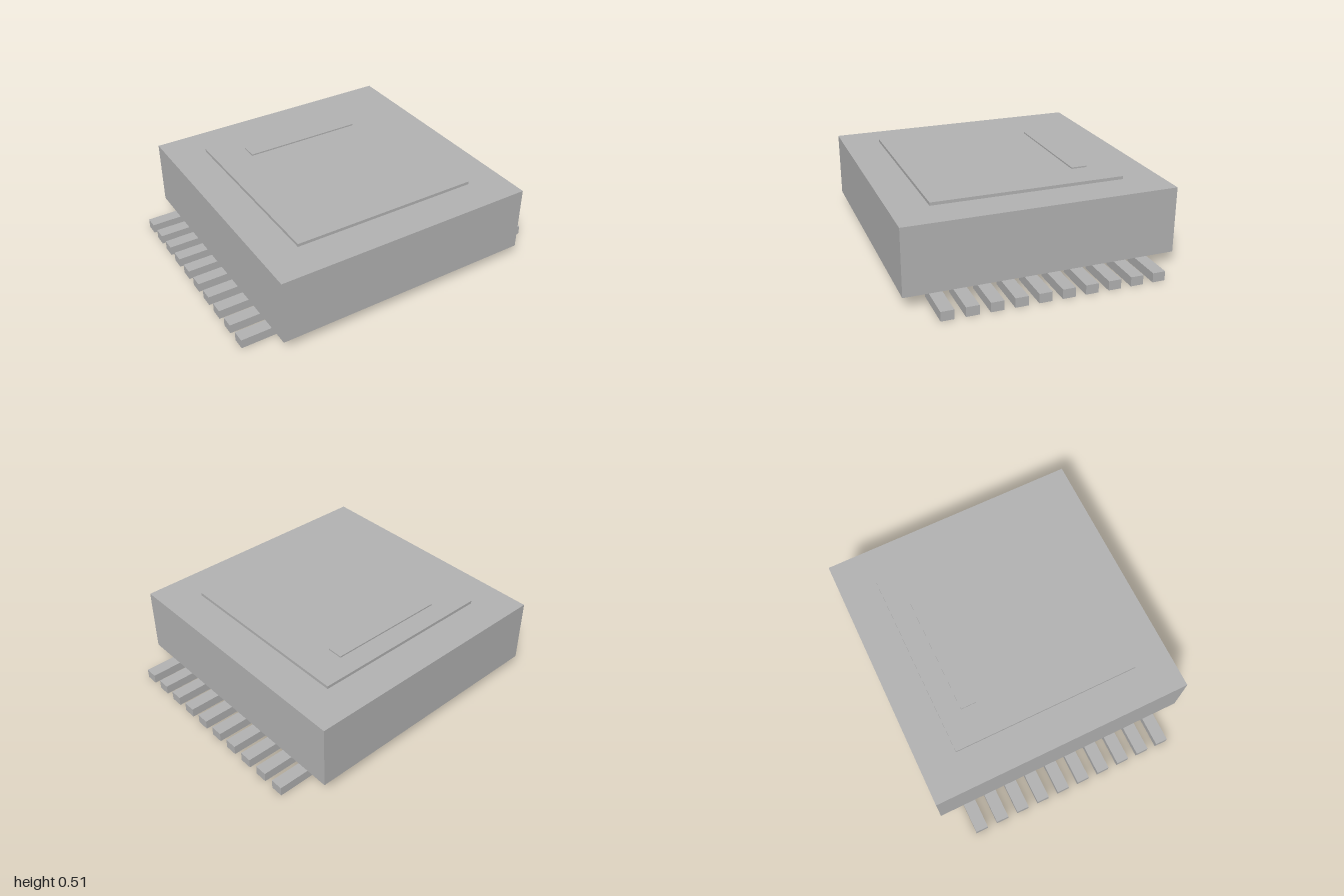
import * as THREE from 'three';

export function createModel() {
  const model = new THREE.Group();
  model.name = 'chipPackage';
  const grey = new THREE.MeshStandardMaterial({ color: 0xb3b3b3 });
  grey.name = 'plain grey';

  // Box given by its size, centre x and z, and underside height
  function addBox(name, w, h, d, x, bottom, z) {
    const mesh = new THREE.Mesh(new THREE.BoxGeometry(w, h, d), grey);
    mesh.name = name;
    mesh.position.set(x, bottom + h / 2, z);
    model.add(mesh);
  }

  // Main block, raised lid and the orientation bar near the back
  addBox('body', 1.64, 0.406, 1.64, 0, 0.075, 0);
  addBox('lid', 1.182, 0.019, 1.182, 0, 0.481, 0);
  addBox('markerBar', 0.752, 0.009, 0.098, 0, 0.5, -0.409);

  // Ten flat leads along each side, just below the body
  const count = 10, pitch = 0.1394;
  for (const side of [-1, 1]) {
    for (let i = 0; i < count; i++) {
      const z = (i - (count - 1) / 2) * pitch;
      addBox(side > 0 ? 'leftLead' : 'rightLead', 0.292, 0.057, 0.077, side * 0.854, 0, z);
    }
  }
  return model;
}
